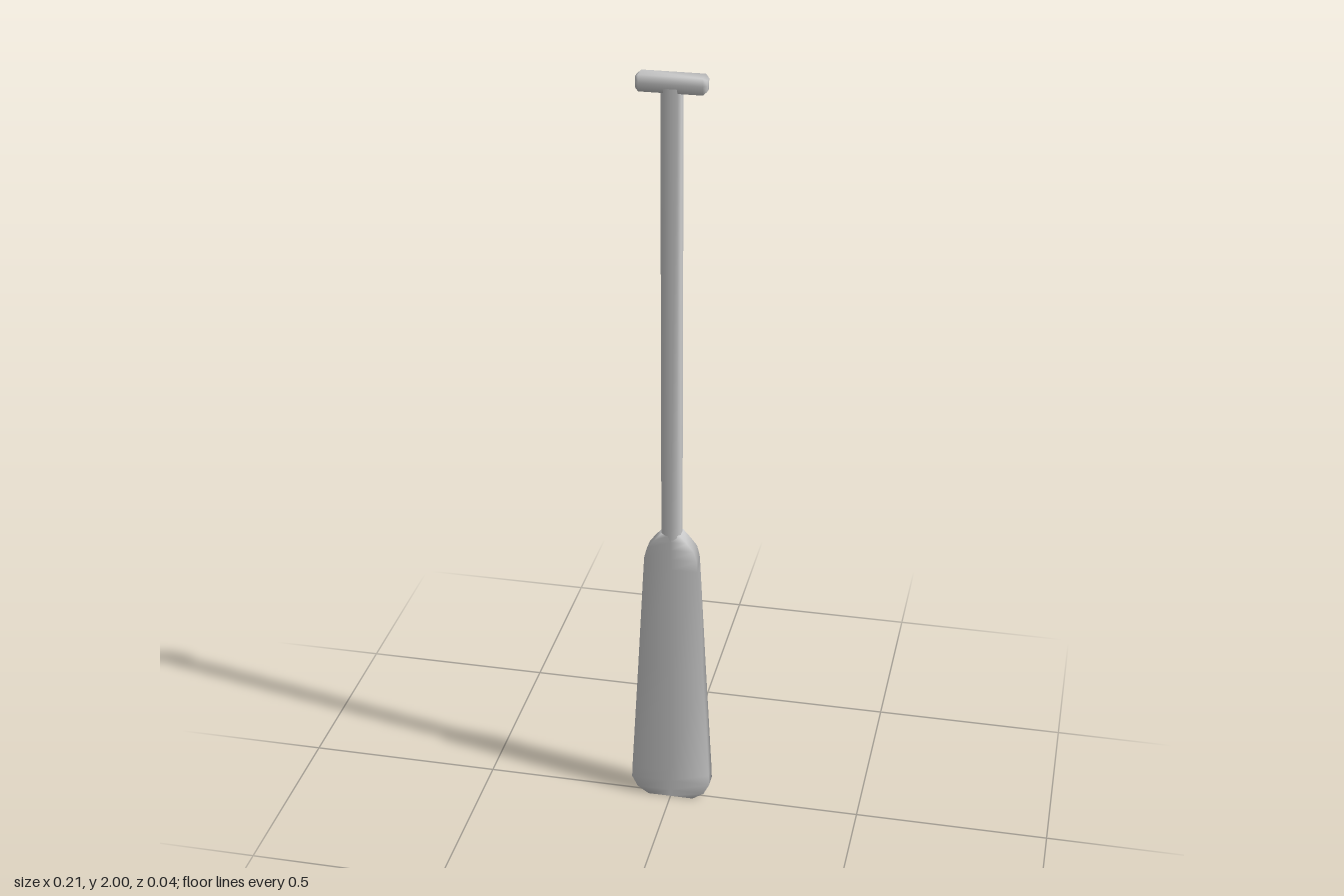
import * as THREE from 'three';

const DEPTH = 0.0195;

// Cross-section ring: a rectangle with mid points, or a chamfered one
function ring(w, d, c) {
  const half = c > 0
    ? [[w, d - c], [w, c - d], [w - c, -d], [0, -d], [c - w, -d]]
    : [[w, d], [w, -d], [0, -d]];
  return [...half, ...half.map(([x, z]) => [-x, -z])];
}

// Smooth solid lofted along y through sections [y, halfWidth, halfDepth]
function loft(sections, chamfer = 0) {
  const pos = [], index = [];
  let n = 0;
  sections.forEach(([y, w, d = DEPTH]) => {
    const pts = ring(w, d, chamfer);
    n = pts.length;
    pts.forEach(([x, z]) => pos.push(x, y, z));
  });
  const last = sections.length - 1;
  for (let s = 0; s < last; s++) {
    for (let i = 0; i < n; i++) {
      const j = (i + 1) % n, a = s * n, b = a + n;
      index.push(a + i, a + j, b + j, a + i, b + j, b + i);
    }
  }
  for (let i = 1; i < n - 1; i++) {
    index.push(0, i + 1, i);
    index.push(last * n, last * n + i, last * n + i + 1);
  }
  const geo = new THREE.BufferGeometry();
  geo.setAttribute('position', new THREE.Float32BufferAttribute(pos, 3));
  geo.setIndex(index);
  geo.computeVertexNormals();
  return geo;
}

export function createModel() {
  const group = new THREE.Group();
  const material = new THREE.MeshStandardMaterial({ color: 0xcccccc });
  const add = (name, geometry) => {
    const mesh = new THREE.Mesh(geometry, material);
    mesh.name = name;
    group.add(mesh);
    return mesh;
  };

  // Flat blade, widening downwards, with a rounded shoulder and clipped tip
  add('blade', loft([
    [0, 0.06], [0.02, 0.09], [0.05, 0.105], [0.08, 0.104], [0.4, 0.086],
    [0.7, 0.07], [0.73, 0.068], [0.757, 0.061], [0.78, 0.043], [0.8, 0.025],
  ]));

  // Long straight shaft with chamfered edges
  add('shaft', loft([[0.78, 0.025], [1.97, 0.025]], 0.008));

  // Crosswise grip with clipped ends
  const grip = add('grip', loft([
    [-0.085, 0.013, 0.011], [-0.076, 0.02], [0.076, 0.02], [0.085, 0.013, 0.011],
  ]));
  grip.rotation.z = Math.PI / 2;
  grip.position.y = 1.98;

  return group;
}
